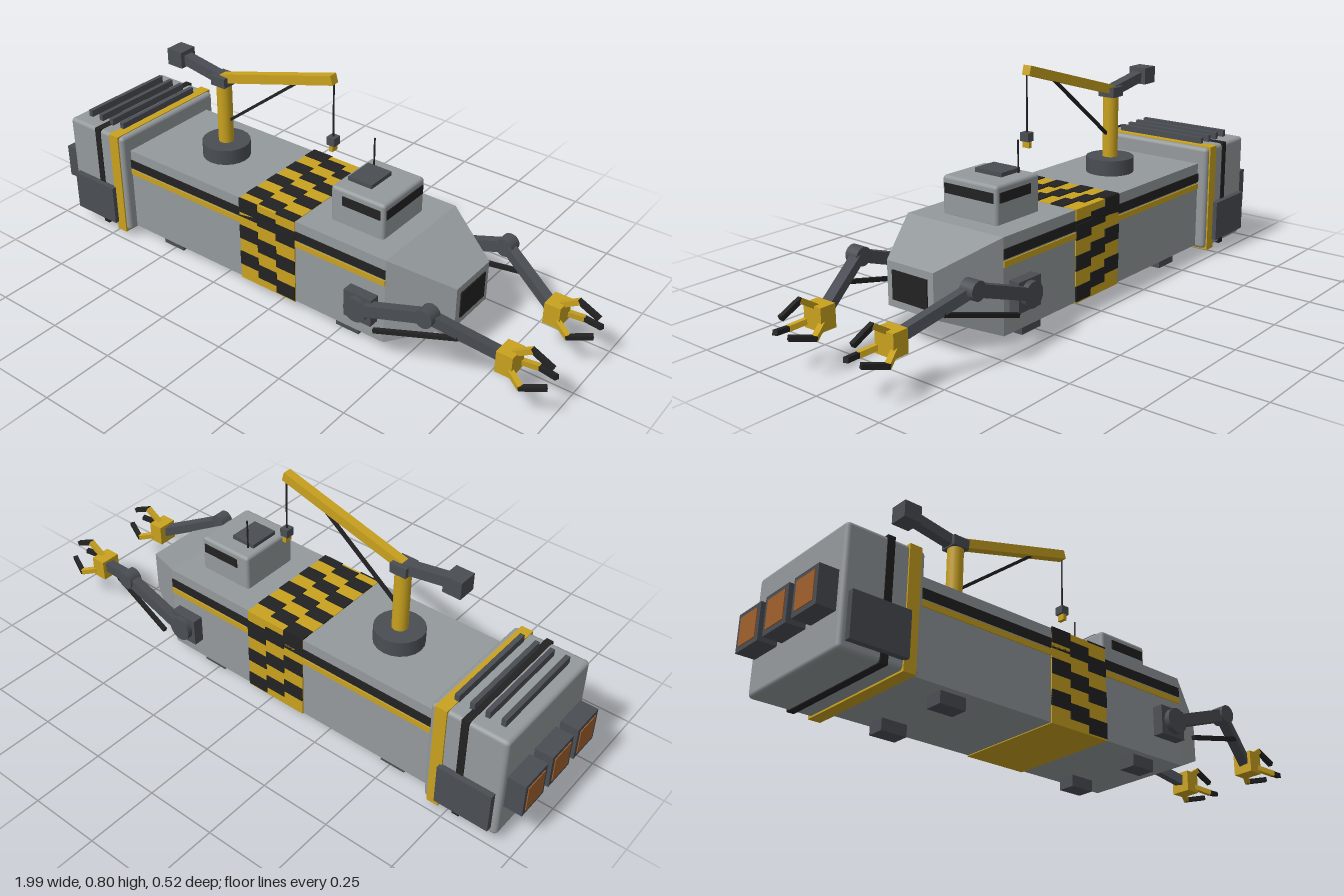
import * as THREE from 'three';
import { RoundedBoxGeometry } from 'three/addons/geometries/RoundedBoxGeometry.js';

const mat = (name, color) => {
  const m = new THREE.MeshStandardMaterial({ color });
  m.name = name;
  return m;
};

export function createModel() {
  const root = new THREE.Group();
  root.name = 'workSubmarine';
  const grey = mat('hullGrey', 0x94999c);
  const dark = mat('darkSteel', 0x4a4e54);
  const black = mat('black', 0x222222);
  const yellow = mat('safetyYellow', 0xc9a21f);
  const orange = mat('engineOrange', 0xa0602c);

  const add = (name, geo, material, parent = root) => {
    const m = new THREE.Mesh(geo, material);
    m.name = name;
    parent.add(m);
    return m;
  };
  // Box given by its limits on each axis
  const box = (name, material, [x0, x1], [y0, y1], [z0, z1], round = 0, parent = root) => {
    const s = [x1 - x0, y1 - y0, z1 - z0];
    const geo = round ? new RoundedBoxGeometry(...s, 2, round) : new THREE.BoxGeometry(...s);
    const m = add(name, geo, material, parent);
    m.position.set((x0 + x1) / 2, (y0 + y1) / 2, (z0 + z1) / 2);
    return m;
  };
  // Square bar between two points
  const bar = (name, material, a, b, w, h = w, parent = root) => {
    const p = new THREE.Vector3(...a), q = new THREE.Vector3(...b);
    const m = add(name, new THREE.BoxGeometry(w, h, p.distanceTo(q)), material, parent);
    m.position.copy(p).add(q).multiplyScalar(0.5);
    m.lookAt(q);
    return m;
  };
  const cyl = (name, material, r, len, pos, axis = 'y', parent = root) => {
    const m = add(name, new THREE.CylinderGeometry(r, r, len, 20), material, parent);
    m.position.set(...pos);
    if (axis === 'z') m.rotation.x = Math.PI / 2;
    return m;
  };

  // Hull and tapered nose
  box('hull', grey, [-0.69, 0.43], [0.04, 0.355], [-0.198, 0.198]);
  const noseGeo = new THREE.BoxGeometry(0.195, 0.315, 0.396);
  const p = noseGeo.attributes.position;
  for (let i = 0; i < p.count; i++) {
    if (p.getX(i) > 0) {
      p.setY(i, p.getY(i) > 0 ? 0.0775 : -0.0675);
      p.setZ(i, Math.sign(p.getZ(i)) * 0.095);
    }
  }
  noseGeo.computeVertexNormals();
  add('nose', noseGeo, grey).position.set(0.5275, 0.1975, 0);
  box('noseWindow', black, [0.623, 0.629], [0.155, 0.25], [-0.072, 0.072]);

  // Side stripes
  for (const s of [-1, 1]) {
    const z = s > 0 ? [0.196, 0.202] : [-0.202, -0.196];
    box('blackStripe', black, [-0.67, 0.43], [0.286, 0.318], z);
    box('yellowStripe', yellow, [-0.67, 0.43], [0.26, 0.28], z);
  }

  // Hazard band: yellow wrap with staggered black plates
  box('hazardBand', yellow, [-0.158, 0.076], [0.037, 0.357], [-0.202, 0.202]);
  const colW = 0.078, cell = 0.0525;
  for (let c = 0; c < 3; c++) {
    const x = [-0.158 + c * colW, -0.158 + (c + 1) * colW];
    for (let k = -1; k < 5; k++) {
      const d = (c * cell) / 2 + k * 2 * cell;
      const y1 = Math.min(0.358, 0.358 - d), y0 = Math.max(0.04, 0.358 - d - cell);
      if (y1 - y0 > 0.003) {
        box('hazardPlate', black, x, [y0, y1], [0.199, 0.205]);
        box('hazardPlate', black, x, [y0, y1], [-0.205, -0.199]);
      }
      const z0 = Math.max(-0.202, -0.202 + d), z1 = Math.min(0.202, -0.202 + d + cell);
      if (z1 - z0 > 0.003) box('hazardPlate', black, x, [0.354, 0.36], [z0, z1]);
    }
  }

  // Skids
  for (const x of [-0.51, 0.27])
    for (const z of [-0.142, 0.142])
      box('skid', dark, [x - 0.046, x + 0.046], [0, 0.042], [z - 0.031, z + 0.031]);

  // Engine block with bands, vents and side pods
  box('engineBlock', grey, [-0.935, -0.67], [0.03, 0.415], [-0.233, 0.233], 0.014);
  box('yellowBand', yellow, [-0.73, -0.688], [0.024, 0.418], [-0.238, 0.238]);
  box('blackBand', black, [-0.804, -0.779], [0.027, 0.418], [-0.236, 0.236]);
  for (let i = 0; i < 4; i++) {
    const x = -0.883 + i * 0.053;
    box('roofVent', dark, [x - 0.008, x + 0.008], [0.41, 0.44], [-0.18, 0.18]);
  }
  for (const s of [-1, 1])
    box('sidePod', dark, [-0.915, -0.723], [0.057, 0.202], s > 0 ? [0.22, 0.254] : [-0.254, -0.22]);
  for (const z of [-0.15, 0, 0.15]) {
    box('thruster', dark, [-0.997, -0.92], [0.145, 0.267], [z - 0.061, z + 0.061]);
    box('thrusterGlow', orange, [-1, -0.995], [0.16, 0.252], [z - 0.046, z + 0.046]);
  }

  // Cabin
  box('cabin', grey, [0.153, 0.36], [0.345, 0.48], [-0.113, 0.113], 0.012);
  box('cabinFrontWindow', black, [0.357, 0.363], [0.424, 0.457], [-0.101, 0.101]);
  for (const z of [-0.113, 0.113])
    box('cabinSideWindow', black, [0.2, 0.346], [0.424, 0.457], [z - 0.003, z + 0.003]);
  box('hatch', dark, [0.178, 0.27], [0.475, 0.494], [-0.055, 0.055]);
  cyl('antenna', black, 0.003, 0.11, [0.196, 0.532, -0.062]);

  // Deck crane
  const crane = new THREE.Group();
  crane.name = 'crane';
  root.add(crane);
  cyl('craneBase', dark, 0.085, 0.06, [-0.39, 0.38, 0], 'y', crane);
  cyl('craneMast', yellow, 0.027, 0.24, [-0.39, 0.525, 0], 'y', crane);
  box('craneHead', dark, [-0.42, -0.36], [0.627, 0.662], [-0.032, 0.032], 0, crane);
  bar('counterArm', dark, [-0.39, 0.645, 0], [-0.57, 0.675, 0], 0.036, 0.036, crane);
  box('counterweight', dark, [-0.617, -0.553], [0.647, 0.706], [-0.034, 0.034], 0, crane);
  bar('boom', yellow, [-0.39, 0.65, 0], [0.078, 0.784, 0], 0.031, 0.032, crane);
  bar('boomStrut', black, [-0.38, 0.485, 0], [-0.06, 0.735, 0], 0.01, 0.01, crane);
  cyl('cable', black, 0.003, 0.2, [0.077, 0.675, 0], 'y', crane);
  box('hookBlock', dark, [0.062, 0.092], [0.552, 0.581], [-0.016, 0.016], 0, crane);
  box('hook', yellow, [0.07, 0.084], [0.53, 0.553], [-0.014, 0.014], 0, crane);

  // Manipulator arms, mirrored by s
  for (const s of [-1, 1]) {
    const arm = new THREE.Group();
    arm.name = s > 0 ? 'frontSideArm' : 'backSideArm';
    root.add(arm);
    const at = (x, y, z) => [x, y, z * s];
    box('shoulderPlate', dark, [0.3, 0.405], [0.113, 0.213], s > 0 ? [0.19, 0.236] : [-0.236, -0.19], 0, arm);
    cyl('shoulderJoint', dark, 0.043, 0.06, at(0.355, 0.165, 0.225), 'z', arm);
    bar('upperArm', dark, at(0.355, 0.165, 0.238), at(0.61, 0.255, 0.237), 0.034, 0.04, arm);
    cyl('elbow', dark, 0.031, 0.05, at(0.61, 0.255, 0.237), 'z', arm);
    bar('forearm', dark, at(0.61, 0.255, 0.235), at(0.83, 0.16, 0.15), 0.034, 0.034, arm);
    bar('hydraulicRod', black, at(0.43, 0.124, 0.255), at(0.705, 0.2, 0.21), 0.014, 0.014, arm);
    const cy = 0.155, cz = 0.148;
    box('wrist', yellow, [0.82, 0.876], [cy - 0.038, cy + 0.038], [cz * s - 0.037, cz * s + 0.037], 0, arm);
    for (let i = 0; i < 3; i++) {
      const a = Math.PI / 2 + (i * 2 * Math.PI) / 3;
      const f = (x, r) => at(x, cy + Math.sin(a) * r, cz + Math.cos(a) * r);
      bar('fingerBase', yellow, f(0.86, 0.03), f(0.92, 0.068), 0.018, 0.018, arm);
      bar('fingerTip', black, f(0.914, 0.07), f(0.99, 0.034), 0.016, 0.016, arm);
    }
  }
  return root;
}
